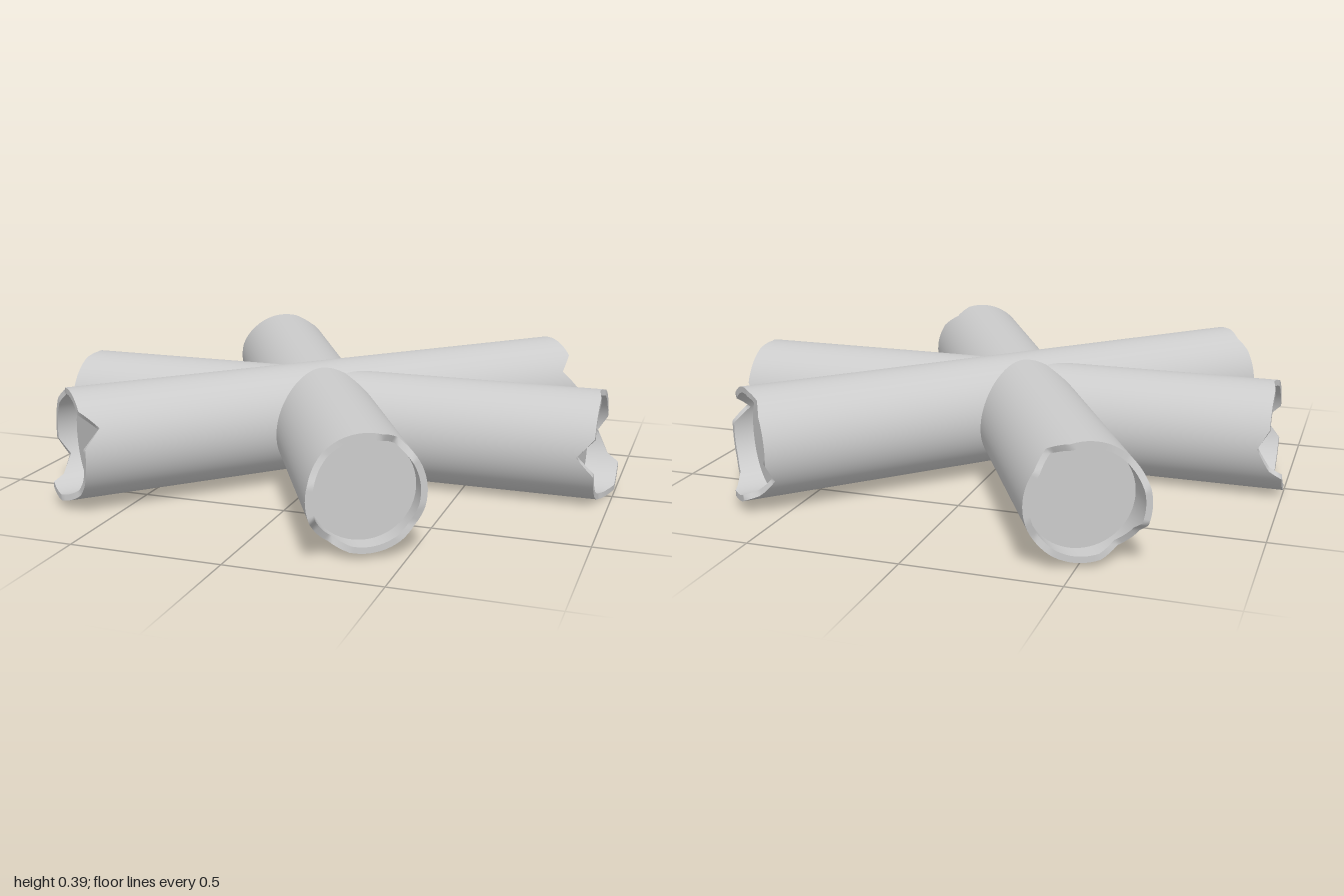
import * as THREE from 'three';
import { mergeGeometries } from 'three/addons/utils/BufferGeometryUtils.js';

const R = 0.185, INNER = 0.165, CAP = 0.89, SEG = 72;

// Broken rim: half length of the pipe at angles (degrees) around its axis
const RIM = [
  [-180, 0.92], [-155, 0.96], [-145, 1.0], [-110, 1.0], [-100, 0.985], [-80, 0.96],
  [-60, 0.955], [-20, 0.955], [0, 0.9], [20, 0.955], [70, 0.955], [90, 0.942],
  [110, 0.955], [160, 0.955], [180, 0.92],
];

function rimLength(deg) {
  for (let i = 1; i < RIM.length; i++) {
    const [a0, l0] = RIM[i - 1], [a1, l1] = RIM[i];
    if (deg <= a1) return l0 + (l1 - l0) * (deg - a0) / (a1 - a0);
  }
  return RIM[0][1];
}

// Ring of points around the x axis; x may depend on the angle
function ring(xAt, radius) {
  return Array.from({ length: SEG }, (_, i) => {
    const deg = -180 + i * 360 / SEG, t = THREE.MathUtils.degToRad(deg);
    return [xAt(deg), radius * Math.sin(t), radius * Math.cos(t)];
  });
}

// Smooth band joining two rings
function band(a, b) {
  const g = new THREE.BufferGeometry(), index = [];
  for (let i = 0; i < SEG; i++) {
    const j = (i + 1) % SEG;
    index.push(i, SEG + i, SEG + j, i, SEG + j, j);
  }
  g.setAttribute('position', new THREE.Float32BufferAttribute([...a, ...b].flat(), 3));
  g.setIndex(index);
  g.computeVertexNormals();
  return g;
}

// Hollow-ended pipe: cap, inner wall and rim at each end, outer wall between
function pipeGeometry() {
  const rings = [
    ring(() => -CAP, 0), ring(() => -CAP, INNER),
    ring(d => -rimLength(d), INNER), ring(d => -rimLength(d), R),
    ring(rimLength, R), ring(rimLength, INNER),
    ring(() => CAP, INNER), ring(() => CAP, 0),
  ];
  return mergeGeometries(rings.slice(1).map((r, i) => band(rings[i], r)));
}

export function createModel() {
  const model = new THREE.Group();
  model.name = 'crossedPipes';
  const geometry = pipeGeometry();
  const material = new THREE.MeshStandardMaterial({ color: 0xcccccc });

  // Three pipes crossing at the middle, each rolled about its own axis
  const pipes = [
    { name: 'sidewaysPipe', at: [0, 0.188, 0.017], yaw: 0, roll: 0 },
    { name: 'diagonalPipe', at: [-0.015, 0.213, -0.013], yaw: 45.5, roll: 28 },
    { name: 'steepPipe', at: [-0.07, 0.205, -0.02], yaw: -61.6, roll: 125 },
  ];
  for (const { name, at, yaw, roll } of pipes) {
    const pipe = new THREE.Mesh(geometry, material);
    pipe.name = name;
    pipe.position.set(...at);
    // Roll first (positive turns front towards top), then yaw
    pipe.rotation.set(-THREE.MathUtils.degToRad(roll), THREE.MathUtils.degToRad(yaw), 0, 'YXZ');
    model.add(pipe);
  }
  return model;
}
